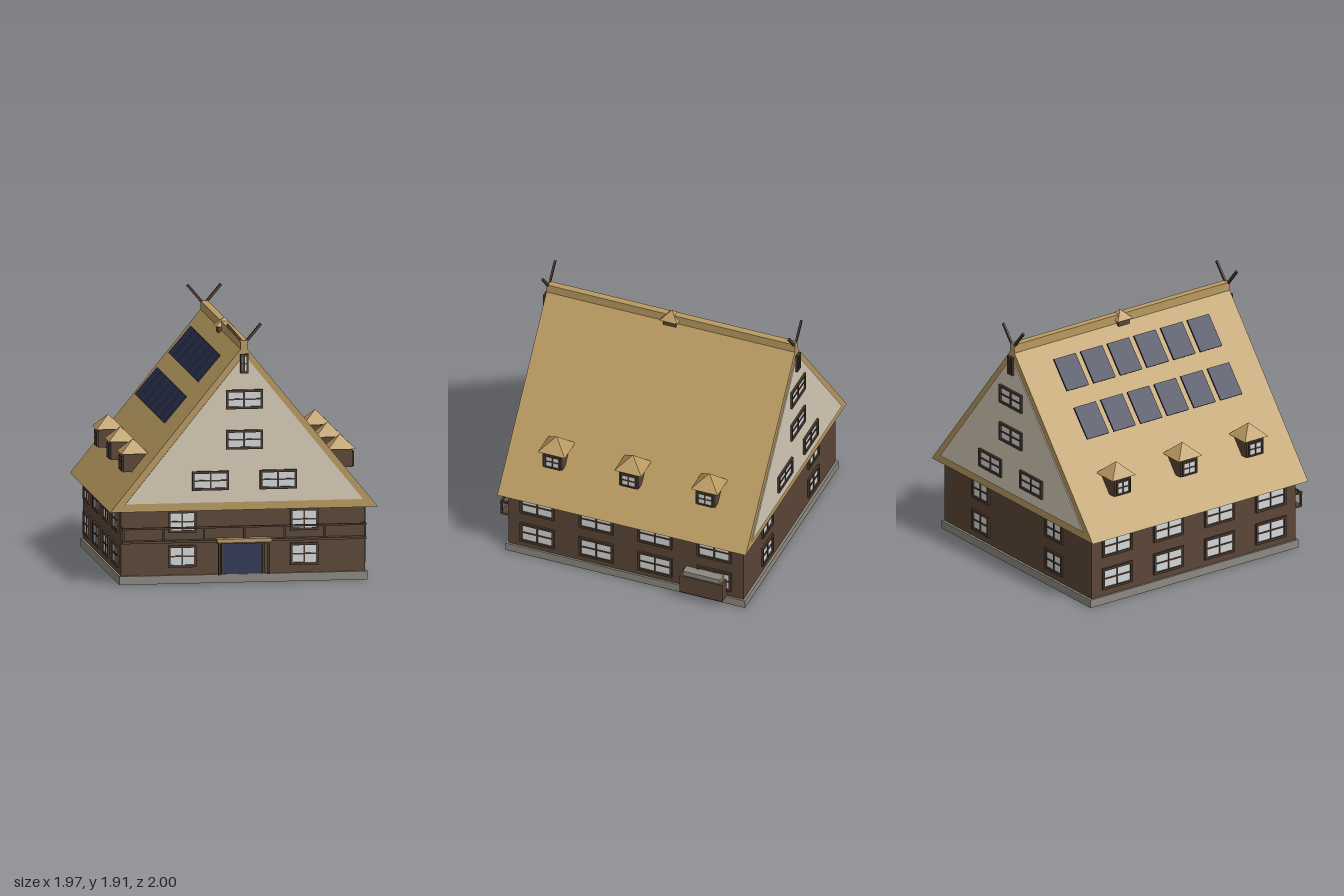
import * as THREE from 'three';

const mat = (name, color) => {
  const m = new THREE.MeshStandardMaterial({ color, flatShading: true });
  m.name = name;
  return m;
};

export function createModel() {
  const house = new THREE.Group();
  house.name = 'thatchedHouse';

  const thatch = mat('thatch', 0xb8995f);
  const wood = mat('wallWood', 0x5a4536);
  const trim = mat('darkTrim', 0x4a382d);
  const plaster = mat('plaster', 0xd6cab6);
  const glass = mat('glass', 0xd2d6d6);
  const stone = mat('stone', 0x8c8880);
  const blue = mat('doorBlue', 0x2c3554);
  const solar = mat('solarBlue', 0x272d4a);

  const add = (parent, name, geo, material, x = 0, y = 0, z = 0) => {
    const m = new THREE.Mesh(geo, material);
    m.name = name;
    m.position.set(x, y, z);
    parent.add(m);
    return m;
  };
  // Box given by its minimum and maximum on each axis
  const box = (parent, name, material, x0, x1, y0, y1, z0, z1) =>
    add(parent, name, new THREE.BoxGeometry(x1 - x0, y1 - y0, z1 - z0), material,
      (x0 + x1) / 2, (y0 + y1) / 2, (z0 + z1) / 2);
  // Four-sided pyramid with sides along the axes
  const pyramid = (parent, name, material, w, h, d, x, y, z) => {
    const g = new THREE.ConeGeometry(Math.SQRT1_2, 1, 4, 1);
    g.rotateY(Math.PI / 4).scale(w, h, d);
    return add(parent, name, g, material, x, y + h / 2, z);
  };
  // Triangular prism centred on z
  const prism = (name, material, halfW, y0, y1, z0, z1) => {
    const s = new THREE.Shape([
      new THREE.Vector2(-halfW, y0), new THREE.Vector2(halfW, y0), new THREE.Vector2(0, y1)]);
    const g = new THREE.ExtrudeGeometry(s, { depth: z1 - z0, bevelEnabled: false });
    return add(house, name, g, material, 0, 0, z0);
  };
  // Window facing +z, turned by angle; frame with a cross of glazing bars
  const windowUnit = (name, x, y, z, w, h, angle, bar = 0.018, muntin = 0.01, depth = 0.016) => {
    const g = new THREE.Group();
    g.name = name;
    g.position.set(x, y, z);
    g.rotation.y = angle;
    const a = w / 2, b = h / 2;
    box(g, 'pane', glass, -a + bar, a - bar, -b + bar, b - bar, -0.002, 0.005);
    for (const s of [-1, 1]) {
      const cx = s * (a - bar / 2), cy = s * (b - bar / 2);
      box(g, 'frameSide', trim, cx - bar / 2, cx + bar / 2, -b, b, -0.002, depth);
      box(g, 'frameRail', trim, -a + bar, a - bar, cy - bar / 2, cy + bar / 2, -0.002, depth);
    }
    box(g, 'verticalBar', trim, -muntin / 2, muntin / 2, -b + bar, b - bar, 0, depth - 0.004);
    box(g, 'crossBar', trim, -a + bar, a - bar, -muntin / 2, muntin / 2, 0, depth - 0.005);
    house.add(g);
  };

  // Body and roof
  box(house, 'foundation', stone, -0.915, 0.915, 0, 0.062, -0.942, 0.942);
  box(house, 'walls', wood, -0.9, 0.9, 0.062, 0.545, -0.924, 0.924);
  const eaveX = 0.987, eaveY = 0.54, apexY = 1.755;
  prism('thatchRoof', thatch, eaveX, eaveY, apexY, -0.976, 0.976);
  box(house, 'ridgeCap', thatch, -0.026, 0.026, 1.715, 1.788, -0.976, 0.976);

  // Gables, their windows and crossed boards at the ridge ends
  for (const s of [-1, 1]) {
    const turn = s > 0 ? 0 : Math.PI;
    const z = s * 0.984;
    prism('gablePlaster', plaster, 0.875, 0.6, 1.685, s > 0 ? 0.974 : -0.984, s > 0 ? 0.984 : -0.974);
    for (const [x, y] of [[0, 1.357], [0, 1.06], [-0.25, 0.762], [0.25, 0.762]])
      windowUnit('gableWindow', x, y, z, 0.272, 0.142, turn);
    windowUnit('gableVent', 0, 1.62, z, 0.06, 0.142, turn, 0.016, 0.01);
    for (const x of [-0.45, 0.45])
      for (const y of [0.2, 0.455])
        windowUnit('endWindow', x, y, s * 0.924, 0.208, 0.162, turn);
    for (const k of [-1, 1]) {
      const board = add(house, 'ridgeBoard', new THREE.BoxGeometry(0.02, 0.21, 0.014), trim,
        k * 0.057, 1.828, s * 0.967);
      board.rotation.z = -k * 0.7;
    }
  }

  // Long walls: windows and dormers
  for (const s of [-1, 1]) {
    const turn = s * Math.PI / 2;
    for (const z of [-0.695, -0.23, 0.232, 0.695])
      for (const y of [0.194, 0.45])
        windowUnit('sideWindow', s * 0.9, y, z, 0.27, 0.166, turn);
    for (const z of [-0.6, 0, 0.6]) {
      box(house, 'dormerBody', wood, s > 0 ? 0.68 : -0.845, s > 0 ? 0.845 : -0.68,
        0.79, 0.93, z - 0.076, z + 0.076);
      pyramid(house, 'dormerRoof', thatch, 0.205, 0.1, 0.212, s * 0.763, 0.926, z);
      windowUnit('dormerWindow', s * 0.845, 0.85, z, 0.126, 0.11, turn, 0.013, 0.01, 0.013);
    }
  }

  // Ridge turret
  box(house, 'turretBody', wood, -0.05, 0.05, 1.705, 1.755, -0.05, 0.05);
  pyramid(house, 'turretRoof', thatch, 0.138, 0.066, 0.138, 0, 1.75, 0);

  // Solar panels, two rows along the left-hand slope in the front elevation
  for (const [x, y] of [[-0.465, 1.247], [-0.218, 1.545]])
    for (let i = 0; i < 6; i++) {
      const panel = add(house, 'solarPanel', new THREE.BoxGeometry(0.255, 0.012, 0.196), solar,
        x, y, -0.604 + i * 0.2416);
      panel.rotation.z = Math.atan2(0.195, 0.166);
    }

  // Door with surround, porch posts and thatched canopy
  box(house, 'door', blue, -0.14, 0.14, 0.062, 0.282, 0.92, 0.932);
  box(house, 'doorLintel', trim, -0.16, 0.16, 0.282, 0.3, 0.92, 0.938);
  for (const s of [-1, 1]) {
    box(house, 'doorJamb', trim, s * 0.151 - 0.01, s * 0.151 + 0.01, 0.062, 0.282, 0.92, 0.938);
    box(house, 'porchPost', trim, s * 0.182 - 0.008, s * 0.182 + 0.008, 0.062, 0.3, 0.968, 0.984);
  }
  box(house, 'porchBeam', trim, -0.195, 0.195, 0.292, 0.304, 0.924, 0.986);
  box(house, 'porchCanopy', thatch, -0.2, 0.2, 0.304, 0.328, 0.924, 0.989);

  // Balcony across the front
  box(house, 'balconyFloor', wood, -0.9, 0.9, 0.306, 0.322, 0.92, 0.984);
  box(house, 'balconyRail', trim, -0.9, 0.9, 0.41, 0.424, 0.974, 0.988);
  for (let i = -3; i <= 3; i++)
    box(house, 'balconyPost', trim, i * 0.297 - 0.007, i * 0.297 + 0.007, 0.31, 0.424, 0.973, 0.987);
  for (const s of [-1, 1])
    box(house, 'balconyEndRail', trim, s * 0.893 - 0.007, s * 0.893 + 0.007, 0.41, 0.424, 0.92, 0.974);

  // Storage chest with stone top beside the wall
  box(house, 'storageChest', wood, 0.9, 0.988, 0.064, 0.212, -0.793, -0.455);
  box(house, 'chestTop', stone, 0.908, 0.978, 0.212, 0.25, -0.772, -0.478);

  return house;
}
